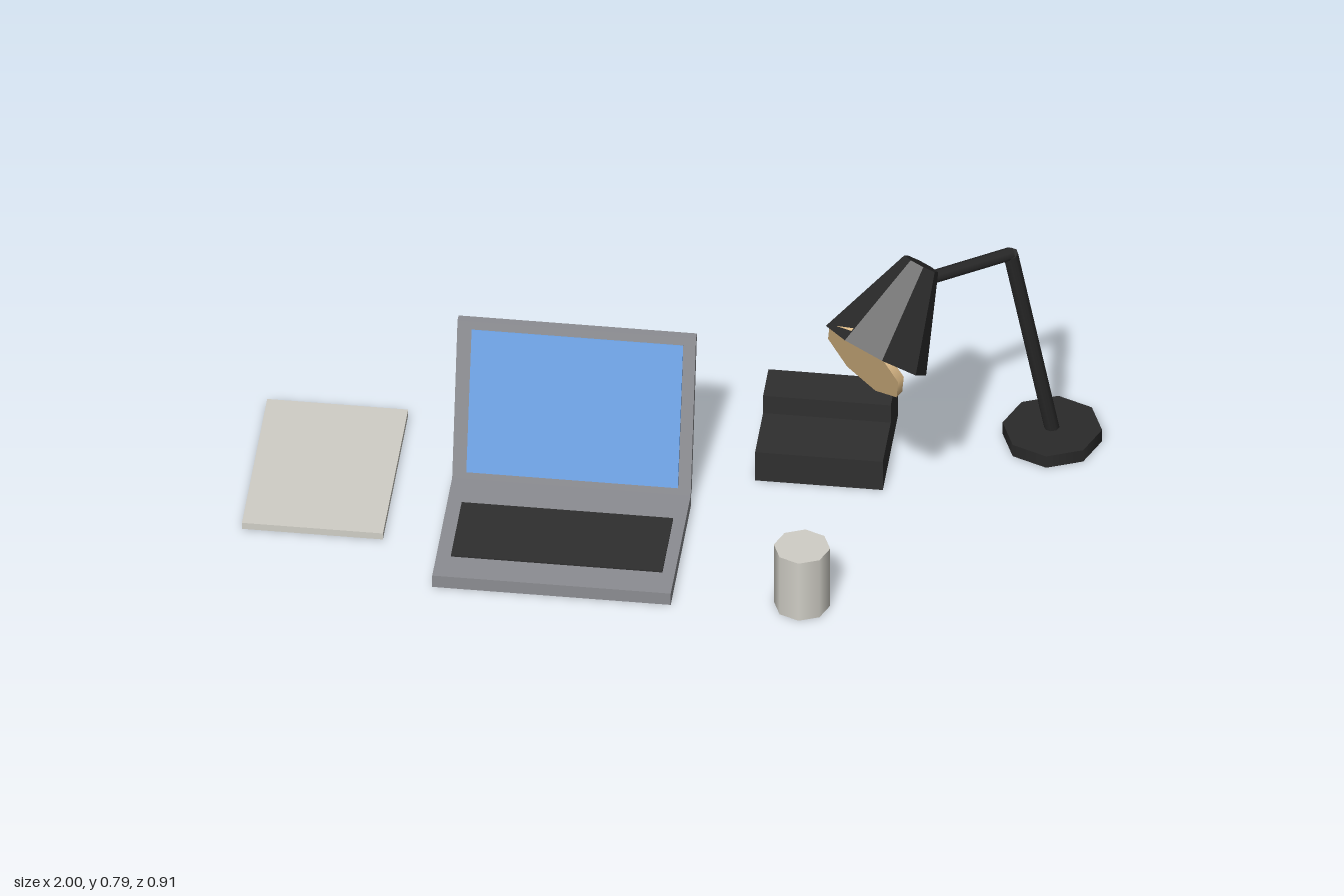
import * as THREE from 'three';

const mat = (name, color, extra = {}) => {
  const m = new THREE.MeshStandardMaterial({ color, ...extra });
  m.name = name;
  return m;
};

export function createModel() {
  const black = mat('black', 0x2a2a2a);
  const blackFaceted = black;
  const charcoal = mat('charcoal', 0x2f2f2f);
  const grey = mat('grey', 0x8c8d92);
  const blue = mat('screen blue', 0x6ba1e4);
  const stone = mat('stone', 0xd0cec6);
  const amber = mat('warm amber', 0xe6c28c);

  const model = new THREE.Group();
  model.name = 'deskSet';

  const add = (name, geometry, material, parent = model) => {
    const mesh = new THREE.Mesh(geometry, material);
    mesh.name = name;
    parent.add(mesh);
    return mesh;
  };

  // Box given by its limits; lean shifts z back as y rises
  const box = (name, material, [x0, x1], [y0, y1], [z0, z1], lean = 0) => {
    const h = y1 - y0;
    const g = new THREE.BoxGeometry(x1 - x0, h, z1 - z0);
    g.translate((x0 + x1) / 2, h / 2, (z0 + z1) / 2);
    const p = g.attributes.position;
    for (let i = 0; i < p.count; i++) p.setZ(i, p.getZ(i) - lean * p.getY(i));
    g.translate(0, y0, 0);
    g.computeVertexNormals();
    return add(name, g, material);
  };

  // Eight-sided rod between two points
  const rod = (name, a, b, r) => {
    const dir = b.clone().sub(a);
    const mesh = add(name, new THREE.CylinderGeometry(r, r, dir.length(), 8), black);
    mesh.position.copy(a).add(b).multiplyScalar(0.5);
    mesh.quaternion.setFromUnitVectors(new THREE.Vector3(0, 1, 0), dir.normalize());
  };

  // Notebook
  box('notebook', stone, [-1, -0.66], [0, 0.018], [-0.23, 0.26]);

  // Laptop
  box('laptopBase', grey, [-0.52, 0.055], [0, 0.034], [0.04, 0.43]);
  box('keyboard', charcoal, [-0.485, 0.025], [0.033, 0.038], [0.14, 0.35]);
  box('laptopLid', grey, [-0.52, 0.055], [0.033, 0.43], [0.023, 0.043], 0.26);
  box('screen', blue, [-0.485, 0.025], [0.06, 0.41], [0.043, 0.051], 0.295);

  // Stepped box
  box('boxLower', charcoal, [0.195, 0.503], [0, 0.085], [-0.37, -0.08]);
  box('boxUpper', charcoal, [0.195, 0.503], [0.085, 0.137], [-0.34, -0.235]);

  // Cup
  add('cup', new THREE.CylinderGeometry(0.068, 0.068, 0.172, 8), stone).position.set(0.366, 0.086, 0.386);

  // Lamp stand
  const foot = new THREE.Vector3(0.88, 0.025, -0.335);
  const elbow = new THREE.Vector3(0.796, 0.65, -0.2);
  add('lampBase', new THREE.CylinderGeometry(0.12, 0.12, 0.034, 8), black).position.set(0.88, 0.017, -0.335);
  rod('lampLowerArm', foot, elbow, 0.0185);
  rod('lampUpperArm', elbow, new THREE.Vector3(0.612, 0.71, 0.005), 0.016);

  // Lamp head: turned along the arm, then tipped forward
  const headPart = (name, geometry, material, pos, tiltDeg) => {
    const mesh = add(name, geometry, material);
    mesh.rotation.set(-THREE.MathUtils.degToRad(tiltDeg), -0.673, 0, 'YXZ');
    mesh.position.set(...pos);
  };
  const shade = new THREE.CylinderGeometry(0.046, 0.136, 0.236, 8).toNonIndexed();
  shade.computeVertexNormals();
  headPart('lampShade', shade, blackFaceted, [0.559, 0.667, 0.064], 40);
  headPart('lampLight', new THREE.CylinderGeometry(0.12, 0.12, 0.02, 8).toNonIndexed(), amber, [0.49, 0.568, 0.143], 70);

  return model;
}
